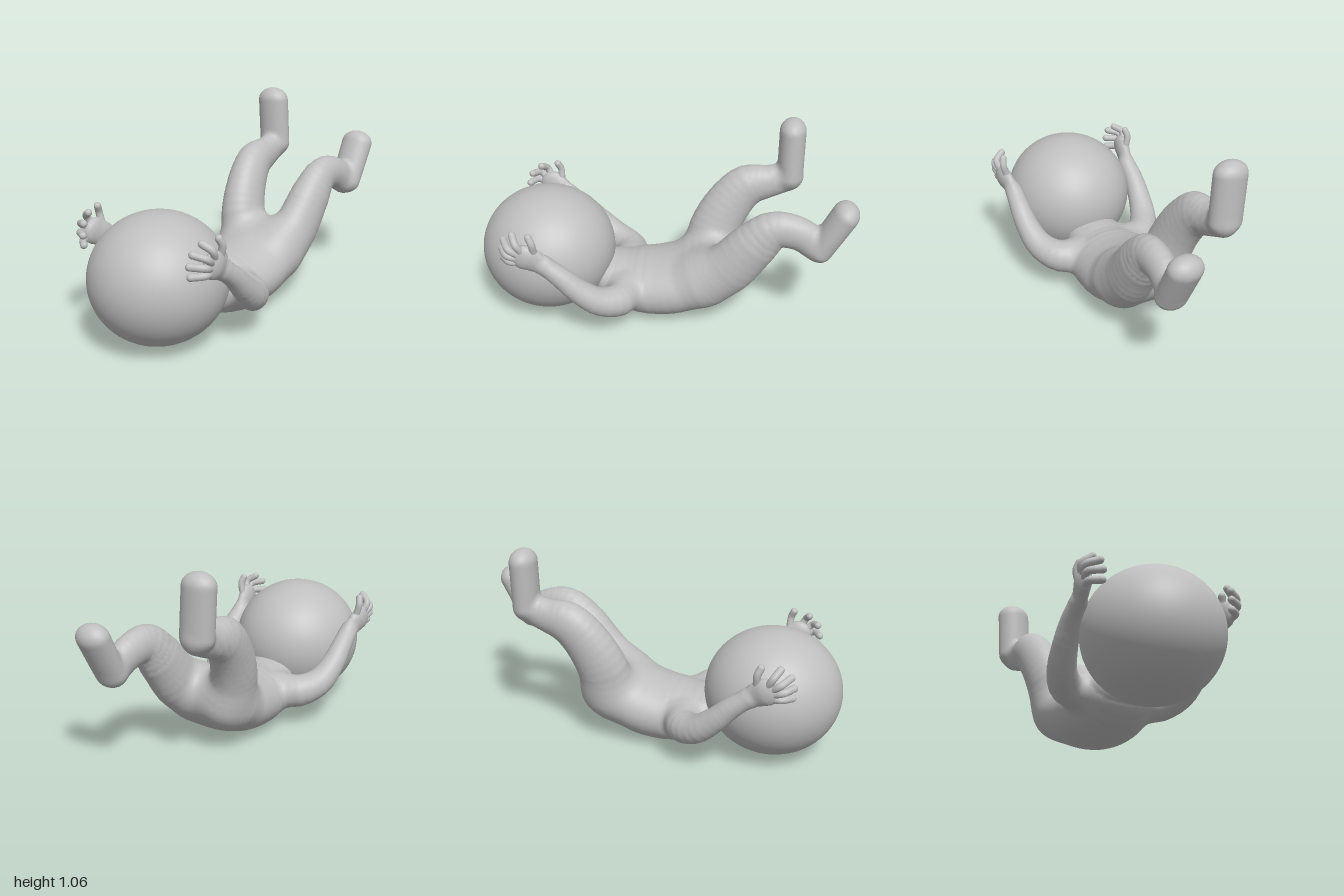
import * as THREE from 'three';

const V = (x, y, z) => new THREE.Vector3(x, y, z);

// A limb is a smooth path of [x, y, z, radius] points; wide stretches it along x,
// blend sets how softly it joins the limbs before it.
function limb(points, wide, blend, steps) {
  const curve = new THREE.CatmullRomCurve3(points.map(p => V(p[0] / wide, p[1], p[2])));
  const n = points.length - 1, bones = [];
  const radius = t => {
    const i = Math.min(n - 1, Math.floor(t * n));
    return THREE.MathUtils.lerp(points[i][3], points[i + 1][3], t * n - i);
  };
  for (let i = 0; i < steps; i++) {
    const a = curve.getPoint(i / steps), b = curve.getPoint((i + 1) / steps).sub(a);
    const r = radius(i / steps);
    bones.push({ a, b, len: b.lengthSq(), r, dr: radius((i + 1) / steps) - r });
  }
  return { bones, wide, blend, scale: Math.min(1, wide) };
}

function limbDistance(l, x, y, z) {
  let best = Infinity;
  for (const { a, b, len, r, dr } of l.bones) {
    const px = x / l.wide - a.x, py = y - a.y, pz = z - a.z;
    const t = Math.max(0, Math.min(1, (px * b.x + py * b.y + pz * b.z) / len));
    const dx = px - t * b.x, dy = py - t * b.y, dz = pz - t * b.z;
    best = Math.min(best, Math.sqrt(dx * dx + dy * dy + dz * dz) - r - t * dr);
  }
  return best * l.scale;
}

// One smooth skin around all limbs, made on a regular grid
function skin(limbs, min, max, h) {
  const dist = (x, y, z) => {
    let d = 10;
    for (const l of limbs) {
      const e = limbDistance(l, x, y, z), k = l.blend;
      const m = Math.max(k - Math.abs(d - e), 0);
      d = Math.min(d, e) - m * m / (4 * k);
    }
    return d;
  };
  const gradient = (x, y, z, e = 0.004) => V(
    dist(x + e, y, z) - dist(x - e, y, z),
    dist(x, y + e, z) - dist(x, y - e, z),
    dist(x, y, z + e) - dist(x, y, z - e)).divideScalar(2 * e);

  const size = min.map((m, i) => Math.ceil((max[i] - m) / h) + 1);
  const stride = [1, size[0], size[0] * size[1]];
  const field = new Float32Array(size[0] * size[1] * size[2]);
  const each = fn => {
    for (let k = 0; k < size[2]; k++)
      for (let j = 0; j < size[1]; j++)
        for (let i = 0; i < size[0]; i++) fn(i, j, k, i + j * stride[1] + k * stride[2]);
  };
  each((i, j, k, id) => { field[id] = dist(min[0] + i * h, min[1] + j * h, min[2] + k * h); });

  // One vertex in each grid cell that the surface crosses
  const vertex = new Int32Array(field.length).fill(-1), pos = [], nor = [], index = [];
  each((i, j, k, id) => {
    if (i === size[0] - 1 || j === size[1] - 1 || k === size[2] - 1) return;
    const sum = [0, 0, 0];
    let count = 0;
    for (let c = 0; c < 8; c++) for (let a = 0; a < 3; a++) {
      if (c & (1 << a)) continue;
      const o = [c & 1, (c >> 1) & 1, (c >> 2) & 1];
      const p = id + o[0] + o[1] * stride[1] + o[2] * stride[2];
      const f = field[p], g = field[p + stride[a]];
      if ((f < 0) === (g < 0)) continue;
      o[a] += f / (f - g);
      for (let m = 0; m < 3; m++) sum[m] += o[m];
      count++;
    }
    if (!count) return;
    const p = V(min[0] + (i + sum[0] / count) * h, min[1] + (j + sum[1] / count) * h, min[2] + (k + sum[2] / count) * h);
    const g = gradient(p.x, p.y, p.z);
    p.addScaledVector(g, -dist(p.x, p.y, p.z) / Math.max(g.lengthSq(), 0.5));
    g.normalize();
    vertex[id] = pos.length / 3;
    pos.push(p.x, p.y, p.z);
    nor.push(g.x, g.y, g.z);
  });
  // One quad across each grid edge that the surface crosses
  each((i, j, k, id) => {
    const at = [i, j, k];
    for (let a = 0; a < 3; a++) {
      const b = (a + 1) % 3, c = (a + 2) % 3;
      if (at[a] === size[a] - 1 || !at[b] || !at[c]) continue;
      const inside = field[id] < 0;
      if (inside === (field[id + stride[a]] < 0)) continue;
      const q = [id, id - stride[b], id - stride[b] - stride[c], id - stride[c]].map(n => vertex[n]);
      if (!inside) q.reverse();
      index.push(q[0], q[1], q[2], q[0], q[2], q[3]);
    }
  });
  const geo = new THREE.BufferGeometry();
  geo.setAttribute('position', new THREE.Float32BufferAttribute(pos, 3));
  geo.setAttribute('normal', new THREE.Float32BufferAttribute(nor, 3));
  geo.setIndex(index);
  return geo;
}

export function createModel() {
  const model = new THREE.Group();
  model.name = 'recliningFigure';
  const grey = new THREE.MeshStandardMaterial({ color: 0xbfbfbf });
  grey.name = 'plainGrey';
  const add = (name, geo, parent = model) => {
    const mesh = new THREE.Mesh(geo, grey);
    mesh.name = name;
    parent.add(mesh);
    return mesh;
  };

  // Large round head
  const head = add('head', new THREE.SphereGeometry(1, 64, 48));
  head.scale.set(0.35, 0.335, 0.36);
  head.position.set(0, 0.36, 0.64);

  // Torso, legs and feet
  const limbs = [
    limb([[0, 0.25, 0.36, 0.09], [0, 0.185, 0.24, 0.14], [0, 0.172, 0.1, 0.165],
      [0, 0.19, -0.04, 0.173], [0, 0.235, -0.16, 0.17], [0, 0.285, -0.24, 0.15]], 1.43, 0.01, 16),
    limb([[0.12, 0.28, -0.24, 0.15], [0.135, 0.37, -0.35, 0.143], [0.145, 0.52, -0.47, 0.128],
      [0.15, 0.625, -0.575, 0.1], [0.155, 0.615, -0.7, 0.09], [0.165, 0.56, -0.79, 0.083]], 0.8, 0.06, 20),
    limb([[-0.12, 0.28, -0.24, 0.15], [-0.16, 0.42, -0.255, 0.14], [-0.19, 0.57, -0.325, 0.127],
      [-0.21, 0.675, -0.42, 0.115], [-0.215, 0.705, -0.53, 0.092], [-0.22, 0.735, -0.63, 0.08]], 0.8, 0.06, 20),
    limb([[0.17, 0.54, -0.815, 0.066], [0.172, 0.75, -0.925, 0.07]], 1.3, 0.025, 2),
    limb([[-0.225, 0.75, -0.65, 0.07], [-0.24, 1.0, -0.65, 0.07]], 1.3, 0.025, 2),
  ];
  // Arms and palms, mirrored
  for (const s of [1, -1]) {
    limbs.push(
      limb([[s * 0.17, 0.2, 0.2, 0.095], [s * 0.26, 0.205, 0.228, 0.088], [s * 0.33, 0.24, 0.32, 0.075],
        [s * 0.36, 0.32, 0.42, 0.064], [s * 0.368, 0.41, 0.51, 0.055], [s * 0.365, 0.47, 0.585, 0.049]], 1, 0.035, 16),
      limb([[s * 0.37, 0.495, 0.62, 0.058], [s * 0.387, 0.532, 0.685, 0.072]], 0.5, 0.025, 2));
  }
  add('body', skin(limbs, [-0.48, -0.04, -1.04], [0.48, 1.12, 0.82], 0.017));

  // Thumb and four fingers as base, knuckle and tip, curling in around the head
  const fingers = [
    [[0.388, 0.565, 0.635], [0.4, 0.62, 0.64], [0.392, 0.655, 0.655]],
    [[0.395, 0.56, 0.69], [0.408, 0.615, 0.72], [0.365, 0.648, 0.745]],
    [[0.395, 0.545, 0.71], [0.408, 0.585, 0.758], [0.35, 0.606, 0.795]],
    [[0.395, 0.525, 0.715], [0.402, 0.545, 0.77], [0.343, 0.55, 0.81]],
    [[0.39, 0.5, 0.71], [0.393, 0.503, 0.76], [0.345, 0.498, 0.805]],
  ];
  for (const s of [1, -1]) {
    const hand = new THREE.Group();
    hand.name = s > 0 ? 'leftFingers' : 'rightFingers';
    model.add(hand);
    fingers.forEach((points, i) => {
      const path = new THREE.CatmullRomCurve3(points.map(p => V(s * p[0], p[1], p[2])));
      const name = i ? 'finger' + i : 'thumb';
      add(name, new THREE.TubeGeometry(path, 12, 0.019, 12), hand);
      add(name + 'Tip', new THREE.SphereGeometry(0.019, 12, 10), hand).position.copy(path.getPoint(1));
    });
  }
  return model;
}
